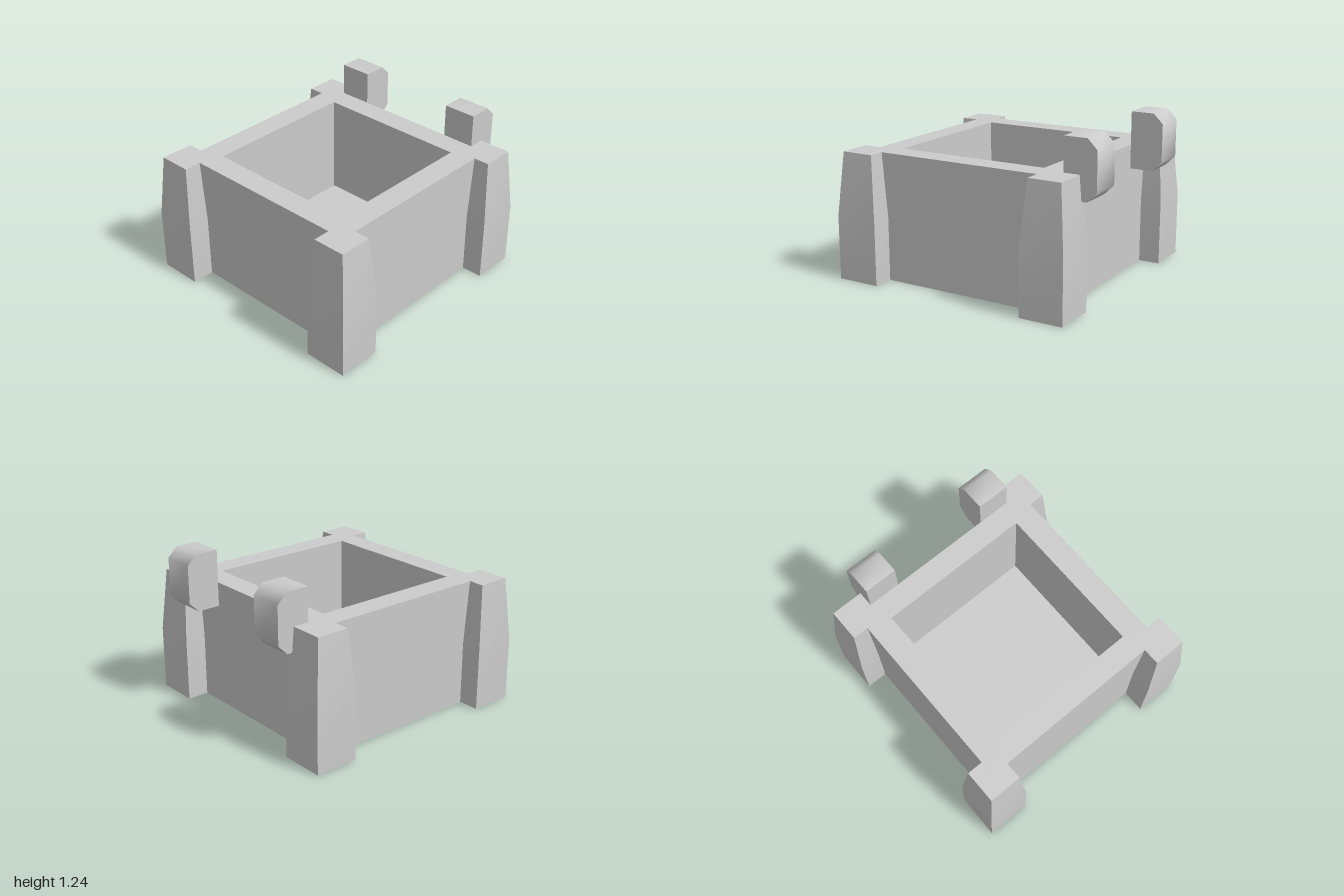
import * as THREE from 'three';
import { toCreasedNormals } from 'three/addons/utils/BufferGeometryUtils.js';

const material = new THREE.MeshStandardMaterial({ color: 0xcccccc });
const HEIGHT = 0.98;
const FLOOR = 0.18;
const CENTER_Z = 0.04;

function addMesh(parent, name, geometry, x = 0, y = 0, z = 0) {
  const mesh = new THREE.Mesh(geometry, material);
  mesh.name = name;
  mesh.position.set(x, y, z);
  parent.add(mesh);
  return mesh;
}

function rectangle(path, halfX, halfY) {
  path.moveTo(-halfX, -halfY);
  path.lineTo(halfX, -halfY);
  path.lineTo(halfX, halfY);
  path.lineTo(-halfX, halfY);
  path.closePath();
  return path;
}

// Four walls in one piece, open at the top
function wallsGeometry() {
  const shape = rectangle(new THREE.Shape(), 0.79, 0.785);
  shape.holes.push(rectangle(new THREE.Path(), 0.605, 0.605));
  return new THREE.ExtrudeGeometry(shape, { depth: HEIGHT, bevelEnabled: false }).rotateX(-Math.PI / 2);
}

// Square post, straight in its lower half and tapering to the top
function postGeometry() {
  const geometry = new THREE.BoxGeometry(0.34, HEIGHT, 0.34, 1, 2, 1).translate(0, HEIGHT / 2, 0);
  const p = geometry.attributes.position;
  for (let i = 0; i < p.count; i++) {
    const s = p.getY(i) > 0.9 ? 0.75 : 1;
    p.setXYZ(i, p.getX(i) * s, p.getY(i), p.getZ(i) * s);
  }
  return toCreasedNormals(geometry, Math.PI / 6);
}

// Hinge lug: side profile with chamfered outer corners, softly shaded around
function lugGeometry() {
  const profile = [[0, 0.795], [0.18, 0.795], [0.255, 0.87], [0.255, 1.16], [0.18, 1.235], [0, 1.235]];
  const shape = new THREE.Shape(profile.map(([x, y]) => new THREE.Vector2(x, y)));
  const geometry = new THREE.ExtrudeGeometry(shape, { depth: 0.26, bevelEnabled: false });
  geometry.translate(0, 0, -0.13).rotateY(Math.PI / 2);
  return toCreasedNormals(geometry, Math.PI / 3);
}

export function createModel() {
  const model = new THREE.Group();
  model.name = 'openChest';

  addMesh(model, 'walls', wallsGeometry(), 0, 0, CENTER_Z);
  addMesh(model, 'floor', new THREE.BoxGeometry(1.21, FLOOR, 1.21), 0, FLOOR / 2, CENTER_Z);

  const post = postGeometry();
  const lug = lugGeometry();
  for (const [side, sx] of [['left', 1], ['right', -1]]) {
    addMesh(model, side + 'FrontPost', post, sx * 0.785, 0, 0.83);
    addMesh(model, side + 'BackPost', post, sx * 0.785, 0, -0.742);
    addMesh(model, side + 'HingeLug', lug, sx * 0.53, 0, -0.745);
  }
  return model;
}
